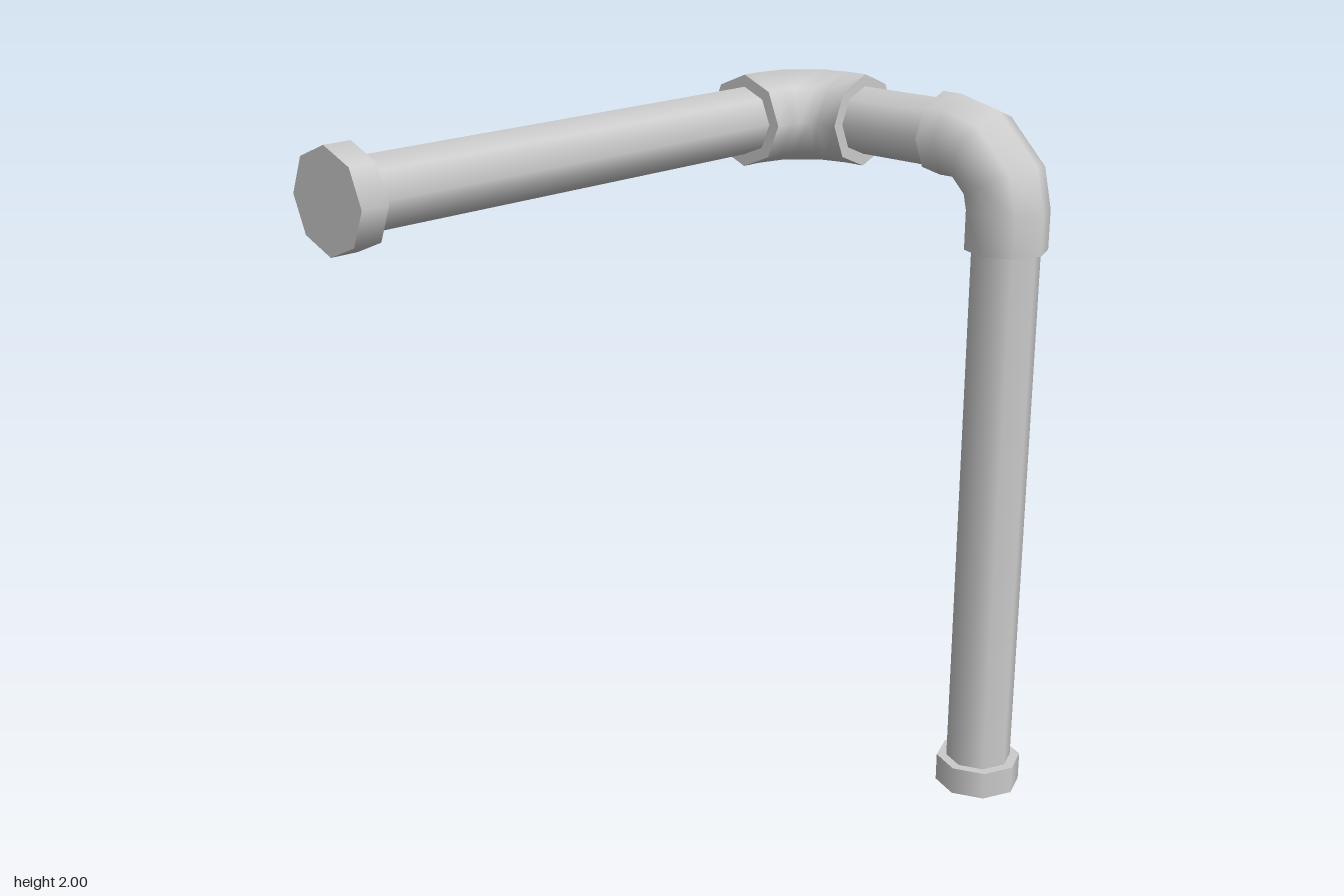
import * as THREE from 'three';

const SIDES = 8;
const AXIS_Y = 1.869, POST_X = 0.755, POST_Z = 0.37, ARM_Z = -0.362;
const material = new THREE.MeshStandardMaterial({ color: 0xcccccc });

function addMesh(group, name, geometry) {
  const mesh = new THREE.Mesh(geometry, material);
  mesh.name = name;
  group.add(mesh);
  return mesh;
}

// Straight octagonal bar between two points
function addBar(group, name, from, to, radius) {
  const a = new THREE.Vector3(...from), b = new THREE.Vector3(...to);
  const dir = b.clone().sub(a);
  const mesh = addMesh(group, name, new THREE.CylinderGeometry(radius, radius, dir.length(), SIDES));
  mesh.position.copy(a).add(b).multiplyScalar(0.5);
  mesh.quaternion.setFromUnitVectors(new THREE.Vector3(0, 1, 0), dir.normalize());
  return mesh;
}

// Quarter bend around the origin in the xy plane, with a straight socket at each end
function elbowGeometry(radius, bend, startLeg, endLeg) {
  const sections = [[0, 0, -startLeg]];
  for (const degrees of [0, 26, 64, 90]) sections.push([degrees, 0, 0]);
  sections.push([90, -endLeg, 0]);

  const positions = [], index = [];
  const addRing = ([degrees, dx, dy]) => {
    const t = THREE.MathUtils.degToRad(degrees);
    const first = positions.length / 3;
    for (let j = 0; j < SIDES; j++) {
      const a = (j / SIDES) * Math.PI * 2;
      const d = bend + radius * Math.cos(a);
      positions.push(d * Math.cos(t) + dx, d * Math.sin(t) + dy, radius * Math.sin(a));
    }
    return first;
  };

  // Smooth skin
  const rings = sections.map(addRing);
  for (let i = 0; i < rings.length - 1; i++) {
    for (let j = 0; j < SIDES; j++) {
      const k = (j + 1) % SIDES, p = rings[i], q = rings[i + 1];
      index.push(p + j, q + j, q + k, p + j, q + k, p + k);
    }
  }
  // Flat rims with their own vertices
  const start = addRing(sections[0]), end = addRing(sections[sections.length - 1]);
  for (let j = 1; j < SIDES - 1; j++) {
    index.push(start, start + j, start + j + 1);
    index.push(end, end + j + 1, end + j);
  }

  const geometry = new THREE.BufferGeometry();
  geometry.setAttribute('position', new THREE.Float32BufferAttribute(positions, 3));
  geometry.setIndex(index);
  geometry.computeVertexNormals();
  return geometry;
}

export function createModel() {
  const group = new THREE.Group();
  group.name = 'pipeAssembly';

  // Upright pipe and its foot
  addBar(group, 'footCap', [POST_X, 0, POST_Z], [POST_X, 0.08, POST_Z], 0.121);
  addBar(group, 'uprightPipe', [POST_X, 0.06, POST_Z], [POST_X, 1.62, POST_Z], 0.093);

  // Short connecting pipe between the elbows
  addBar(group, 'connectingPipe', [POST_X, AXIS_Y, 0.17], [POST_X, AXIS_Y, -0.16], 0.093);

  // Long side pipe and its end cap
  addBar(group, 'sidePipe', [-0.82, AXIS_Y, ARM_Z], [0.55, AXIS_Y, ARM_Z], 0.093);
  addBar(group, 'endCap', [-0.88, AXIS_Y, ARM_Z], [-0.803, AXIS_Y, ARM_Z], 0.131);

  // Front elbow: from up to backwards
  const front = addMesh(group, 'frontElbow', elbowGeometry(0.112, 0.172, 0.107, 0.058));
  front.position.set(POST_X, AXIS_Y - 0.172, POST_Z - 0.172);
  front.rotation.y = -Math.PI / 2;

  // Rear elbow: from backwards to sideways
  const rear = addMesh(group, 'rearElbow', elbowGeometry(0.126, 0.174, 0.06, 0.06));
  rear.position.set(POST_X - 0.174, AXIS_Y, ARM_Z + 0.174);
  rear.rotation.x = -Math.PI / 2;

  return group;
}
